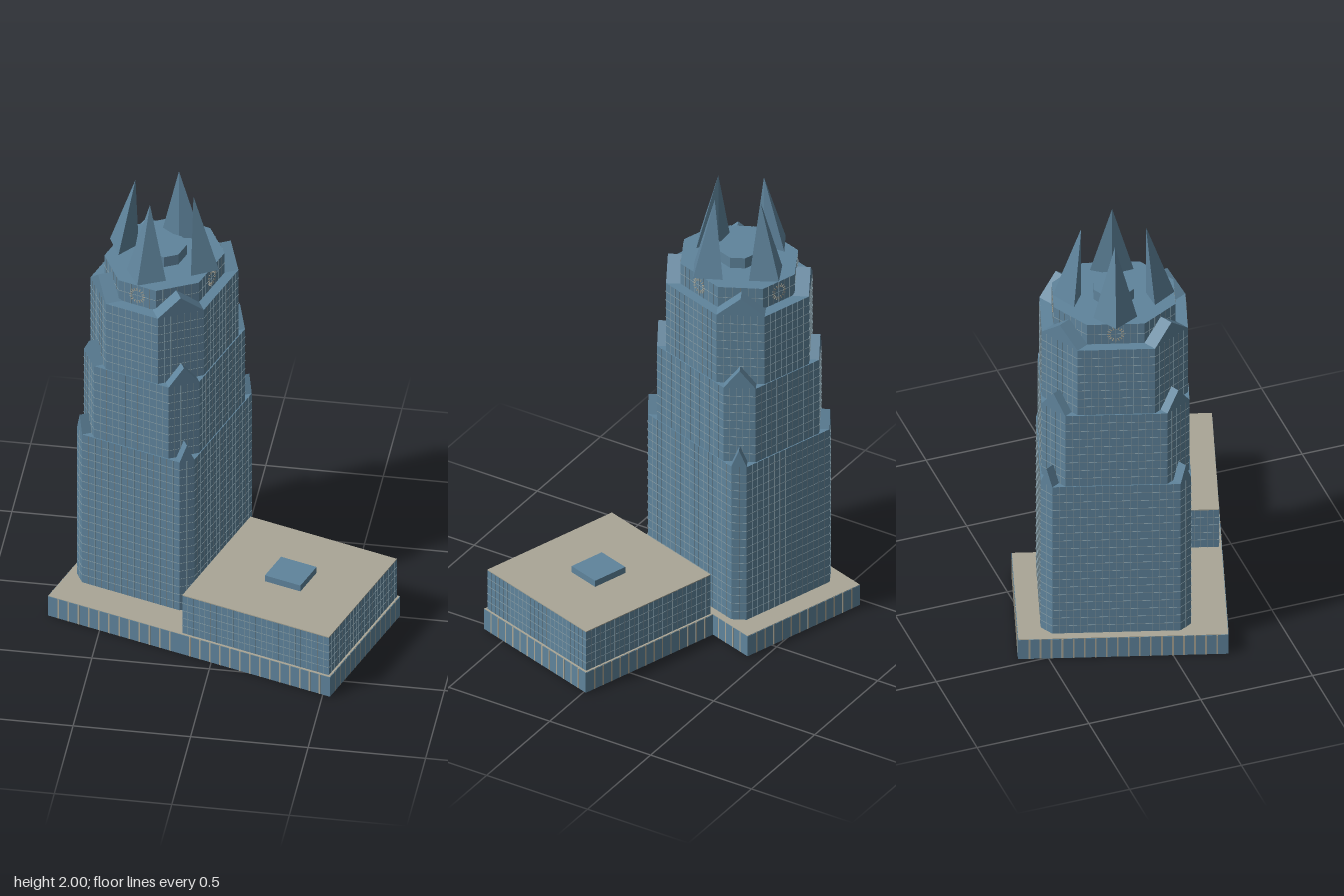
import * as THREE from 'three';
import { mergeGeometries } from 'three/addons/utils/BufferGeometryUtils.js';

const glass = new THREE.MeshStandardMaterial({ color: 0x5f849c, flatShading: true, side: THREE.DoubleSide });
const stone = new THREE.MeshStandardMaterial({ color: 0xaaa696, flatShading: true, side: THREE.DoubleSide });
const mullion = new THREE.MeshStandardMaterial({ color: 0x8299a3 });

// Plans are lists of [x, z] corners
const rect = (x0, x1, z0, z1) => [[x0, z0], [x1, z0], [x1, z1], [x0, z1]];
const octagon = (hx, hz, c) => [
  [hx - c, hz], [hx, hz - c], [hx, c - hz], [hx - c, -hz],
  [c - hx, -hz], [-hx, c - hz], [-hx, hz - c], [c - hx, hz],
];

function add(parent, name, geometry, material) {
  const mesh = new THREE.Mesh(geometry, material);
  mesh.name = name;
  parent.add(mesh);
  return mesh;
}

// Solid upright prism over a plan
function prism(plan, y0, y1) {
  const shape = new THREE.Shape(plan.map(([x, z]) => new THREE.Vector2(x, -z)));
  return new THREE.ExtrudeGeometry(shape, { depth: y1 - y0, bevelEnabled: false })
    .rotateX(-Math.PI / 2).translate(0, y0, 0);
}

// Calls fn(place, length) for every side of a plan; place() sets a box along that side
function eachSide(plan, fn) {
  plan.forEach(([ax, az], i) => {
    const [bx, bz] = plan[(i + 1) % plan.length];
    const length = Math.hypot(bx - ax, bz - az);
    const place = (t, y, w, h, thick) => new THREE.BoxGeometry(w, h, thick)
      .rotateY(-Math.atan2(bz - az, bx - ax))
      .translate(ax + (bx - ax) * t, y, az + (bz - az) * t);
    fn(place, length);
  });
}

// Window grid: thin strips along every side of a plan
function windowGrid(plan, y0, y1, stepX, stepY, width, thick = 0.003) {
  const strips = [];
  eachSide(plan, (place, length) => {
    const columns = Math.max(2, Math.round(length / stepX));
    for (let i = 1; i < columns; i++) strips.push(place(i / columns, (y0 + y1) / 2, width, y1 - y0, thick));
    if (!stepY) return;
    const rows = Math.round((y1 - y0) / stepY);
    for (let j = 1; j < rows; j++) strips.push(place(0.5, y0 + (y1 - y0) * j / rows, length, width, thick));
  });
  return mergeGeometries(strips);
}

// Hollow base, open underneath, with a stone deck
function addBase(parent, name, plan) {
  const walls = [];
  eachSide(plan, (place, length) => walls.push(place(0.5, 0.049, length, 0.098, 0.004)));
  add(parent, name + 'Walls', mergeGeometries(walls), glass);
  add(parent, name + 'Pilasters', windowGrid(plan, 0, 0.098, 0.047, 0, 0.007, 0.006), stone);
  add(parent, name + 'Deck', prism(plan, 0.095, 0.1), stone);
}

// Pointed gable on each chamfered corner, its ridge running inward
function addCornerGables(parent, hx, hz, c, y, height, depth) {
  const w = c * Math.SQRT1_2;
  const shape = new THREE.Shape([[-w, 0], [w, 0], [0, height]].map((p) => new THREE.Vector2(...p)));
  const geometry = new THREE.ExtrudeGeometry(shape, { depth, bevelEnabled: false }).translate(0, 0, -depth);
  for (const sx of [-1, 1]) for (const sz of [-1, 1]) {
    const gable = add(parent, 'cornerGable', geometry, glass);
    gable.position.set(sx * (hx - c / 2), y, sz * (hz - c / 2));
    gable.rotation.y = Math.atan2(sx, sz);
  }
}

// Kite-based spire whose inner edge is vertical
function spireGeometry(y0, y1) {
  const base = [[0, 0.256], [0.092, 0.17], [0, 0.136], [-0.092, 0.17]].map(([x, z]) => [x, y0, z]);
  const tip = [0, y1, 0.136];
  const corners = [];
  base.forEach((p, i) => corners.push(p, base[(i + 1) % 4], tip));
  corners.push(base[0], base[2], base[1], base[0], base[3], base[2]);
  const geometry = new THREE.BufferGeometry();
  geometry.setAttribute('position', new THREE.Float32BufferAttribute(corners.flat(), 3));
  geometry.computeVertexNormals();
  return geometry;
}

export function createModel() {
  const model = new THREE.Group();
  model.name = 'skyscraper';
  const site = new THREE.Group();
  site.name = 'site';
  site.rotation.y = -0.305;
  model.add(site);

  // Bases of the tower and the annex
  addBase(site, 'towerBase', rect(-0.63, -0.01, -0.452, 0.43));
  addBase(site, 'annexBase', rect(-0.01, 0.692, -0.228, 0.43));

  // Low annex with its roof hatch
  const annex = rect(-0.005, 0.683, -0.219, 0.42);
  add(site, 'annexBody', prism(annex, 0.1, 0.291), glass);
  add(site, 'annexWindows', windowGrid(annex, 0.1, 0.291, 0.026, 0.038, 0.002), mullion);
  add(site, 'annexRoof', prism(annex, 0.291, 0.295), stone);
  add(site, 'roofHatch', prism(rect(0.26, 0.427, 0.023, 0.175), 0.295, 0.325), glass);

  const tower = new THREE.Group();
  tower.name = 'tower';
  tower.position.set(-0.318, 0, -0.038);
  site.add(tower);

  // Stepped tiers, corners cut back further on each
  const tiers = [
    { hx: 0.275, hz: 0.316, c: 0.046, y0: 0.1, y1: 0.86, gable: 0.08, depth: 0.045 },
    { hx: 0.271, hz: 0.311, c: 0.096, y0: 0.86, y1: 1.225, gable: 0.085, depth: 0.04 },
    { hx: 0.266, hz: 0.307, c: 0.144, y0: 1.225, y1: 1.56, gable: 0.083, depth: 0.07 },
    { hx: 0.222, hz: 0.256, c: 0.135, y0: 1.56, y1: 1.66 },
  ];
  for (const { hx, hz, c, y0, y1, gable, depth } of tiers) {
    const plan = octagon(hx, hz, c);
    add(tower, 'tier', prism(plan, y0, y1), glass);
    add(tower, 'tierWindows', windowGrid(plan, y0, y1, 0.03, 0.04, 0.002), mullion);
    if (gable) addCornerGables(tower, hx, hz, c, y1, gable, depth);
  }

  // Round dial of ticks on each face of the crown
  const ticks = [];
  for (let i = 0; i < 16; i++) {
    ticks.push(new THREE.BoxGeometry(0.004, 0.014, 0.004).translate(0, 0.03, 0).rotateZ(i * Math.PI / 8));
  }
  const dial = mergeGeometries(ticks);

  // Spires and dials, one per side
  const spire = spireGeometry(1.66, 2);
  for (let i = 0; i < 4; i++) {
    const angle = i * Math.PI / 2;
    add(tower, 'spire', spire, glass).rotation.y = angle;
    const face = add(tower, 'dial', dial, stone);
    const reach = i % 2 ? 0.222 : 0.256;
    face.position.set(Math.sin(angle) * reach, 1.61, Math.cos(angle) * reach);
    face.rotation.y = angle;
  }

  // Low drum in the middle of the roof
  add(tower, 'roofDrum', prism(octagon(0.085, 0.085, 0.045), 1.66, 1.71), glass);

  return model;
}
